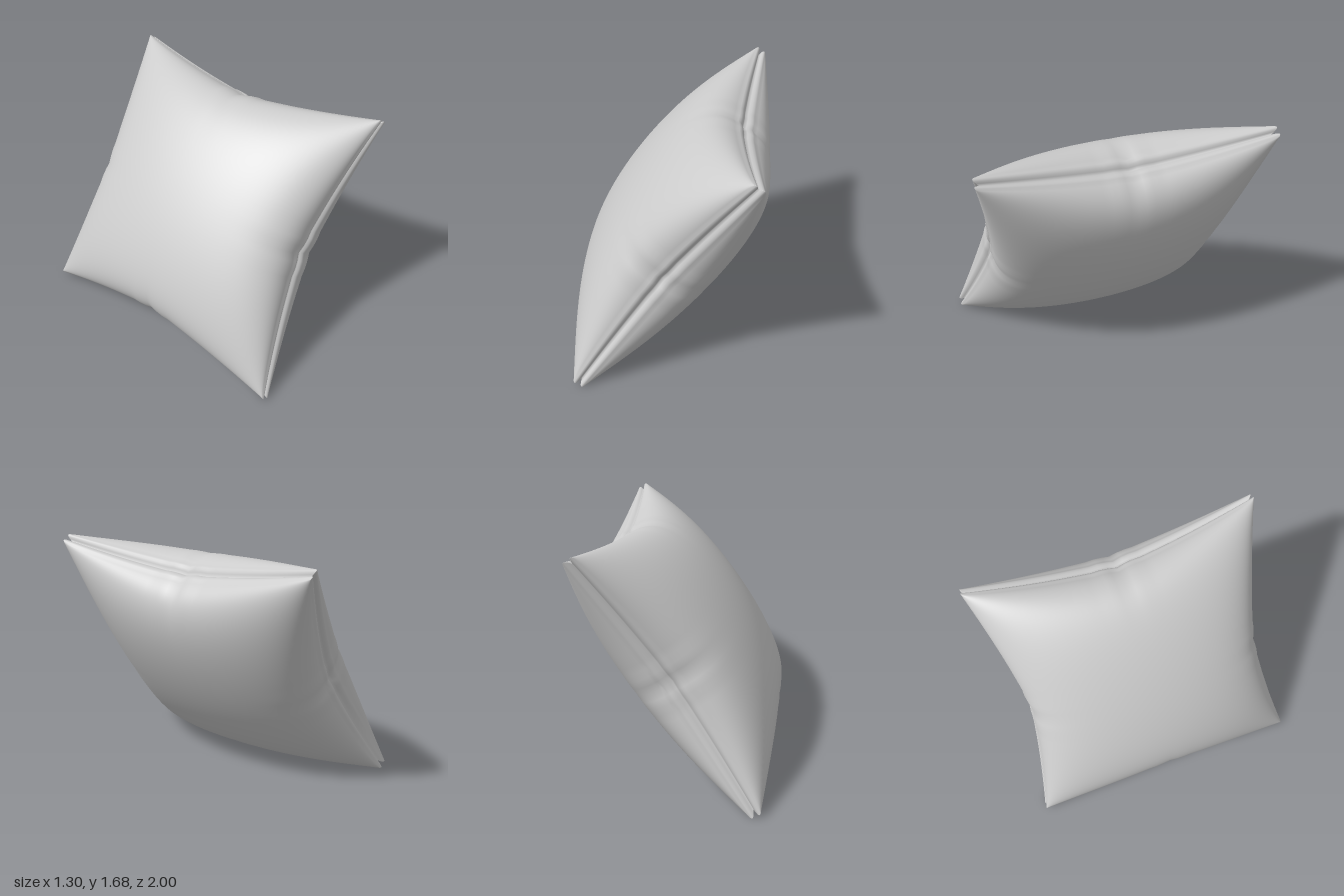
import * as THREE from 'three';
import { mergeGeometries, mergeVertices } from 'three/addons/utils/BufferGeometryUtils.js';

const N = 56; // divisions along each side
const BAND = 10; // divisions across the seam band
const FULLNESS = 0.36;

// How far the edge sits from the centre: pinched at mid-side, full at the corners, puckered in the middle
function pinch(t) {
  const pucker = 0.009 * Math.cos(t * 32) * Math.exp(-((t / 0.14) ** 2));
  return 0.16 * (1 - Math.abs(t) ** 1.4) + pucker;
}

// Half height of the seam band: thicker at mid-side
const seamHeight = (s, t) => 0.04 + 0.035 * (1 - s * s * t * t);

// Plan position of a point on the cushion; a and b run from -1 to 1
function plan(a, b) {
  const s = Math.sin(a * Math.PI / 2), t = Math.sin(b * Math.PI / 2);
  return {
    s, t,
    x: 0.992 * s * (1 - pinch(t) * Math.abs(s) ** 2.5),
    z: 0.992 * t * (1 - pinch(s) * Math.abs(t) ** 2.5),
  };
}

// Grid of quads from a point function
function grid(cols, rows, point, flip) {
  const pos = [], index = [];
  for (let i = 0; i <= cols; i++) {
    for (let j = 0; j <= rows; j++) {
      pos.push(...point(i, j));
      if (i === cols || j === rows) continue;
      const p = i * (rows + 1) + j, q = p + rows + 1;
      if (flip) index.push(p, q, p + 1, q, q + 1, p + 1);
      else index.push(p, p + 1, q, q, p + 1, q + 1);
    }
  }
  const g = new THREE.BufferGeometry();
  g.setAttribute('position', new THREE.Float32BufferAttribute(pos, 3));
  g.setIndex(index);
  return g;
}

// One bulging face, side = 1 for upper and -1 for lower
function face(side) {
  return grid(N, N, (i, j) => {
    const a = 2 * i / N - 1, b = 2 * j / N - 1;
    const { s, t, x, z } = plan(a, b);
    const dome = FULLNESS * Math.cos(a * Math.PI / 2) * Math.cos(b * Math.PI / 2);
    return [x, side * (seamHeight(s, t) + dome), z];
  }, side < 0);
}

// Band round the rim: two soft lips with a groove between them
function seam() {
  return grid(4 * N, BAND, (i, j) => {
    const k = i % N, up = 2 * k / N - 1, down = 2 * (N - k) / N - 1;
    const [a, b] = [[1, up], [down, 1], [-1, down], [up, -1]][Math.floor(i / N) % 4];
    const { s, t, x, z } = plan(a, b);
    const w = 2 * j / BAND - 1, m = Math.abs(w);
    const out = m === 1 ? 1 : 1 + 0.012 * Math.sin(Math.PI * m) - 0.03 * (1 - m) ** 2;
    return [x * out, w * seamHeight(s, t), z * out];
  }, false);
}

export function createModel() {
  const group = new THREE.Group();
  group.name = 'cushion';

  // Weld faces and seam into one smooth skin
  const skin = mergeVertices(mergeGeometries([face(1), face(-1), seam()]), 1e-5);
  skin.computeVertexNormals();
  const cover = new THREE.Mesh(skin, new THREE.MeshStandardMaterial({ color: 0xcccccc }));
  cover.name = 'cushionCover';

  // Leaning on one edge
  cover.rotation.z = THREE.MathUtils.degToRad(55.4);
  cover.position.y = 0.845;
  group.add(cover);
  return group;
}
